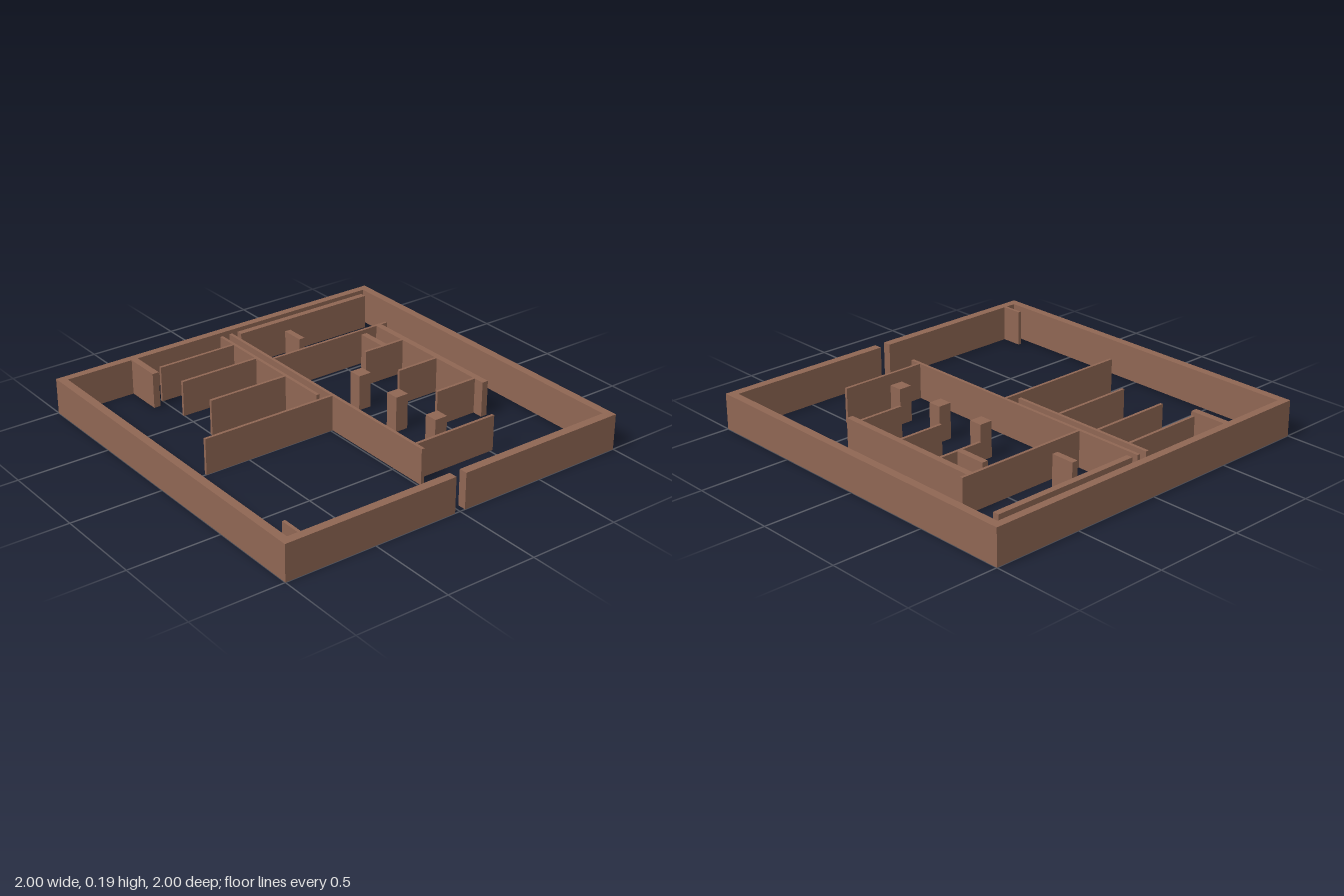
import * as THREE from 'three';

const H = 0.195; // common wall height

export function createModel() {
  const model = new THREE.Group();
  model.name = 'floorPlan';
  const brick = new THREE.MeshStandardMaterial({ color: 0x8f6653, side: THREE.DoubleSide });
  brick.name = 'brown wall';

  // Upright block from plan limits, hollow and open underneath
  function wall(name, x0, x1, z0, z1) {
    const g = new THREE.BoxGeometry(x1 - x0, H, z1 - z0);
    const idx = Array.from(g.index.array);
    idx.splice(18, 6); // drop the bottom face
    g.setIndex(idx);
    g.clearGroups();
    g.translate((x0 + x1) / 2, H / 2, (z0 + z1) / 2);
    const mesh = new THREE.Mesh(g, brick);
    mesh.name = name;
    model.add(mesh);
  }

  // Outer wall: one closed solid ring with an entrance gap at the front
  const outline = [
    [-0.03, 1], [-1, 1], [-1, -1], [1, -1], [1, 1], [0.03, 1],
    [0.03, 0.953], [0.955, 0.953], [0.955, -0.957], [-0.955, -0.957], [-0.955, 0.953], [-0.03, 0.953],
  ];
  const shape = new THREE.Shape(outline.map(([x, z]) => new THREE.Vector2(x, -z)));
  const ring = new THREE.ExtrudeGeometry(shape, { depth: H, bevelEnabled: false });
  ring.rotateX(-Math.PI / 2);
  const outer = new THREE.Mesh(ring, brick);
  outer.name = 'outerWall';
  model.add(outer);

  // Central corridor
  wall('corridorWallRight', -0.048, -0.03, -0.917, -0.053);
  wall('corridorWallLeft', 0.011, 0.029, -0.917, 0.702);
  wall('crossWall', -0.75, 0.011, -0.013, 0.003);

  // Partitions off the corridor
  for (const z of [-0.796, -0.588, -0.326]) wall('stallPartition', -0.503, -0.048, z - 0.008, z + 0.008);

  // Stubs against the outer wall
  wall('backStub', -0.577, -0.54, -0.957, -0.75);
  wall('frontStub', -0.898, -0.881, 0.837, 0.953);

  // Left-hand rooms
  wall('backCounter', 0.064, 0.912, -0.917, -0.882);
  wall('backBlock', 0.273, 0.307, -0.767, -0.636);
  wall('roomBackWall', 0.029, 0.783, -0.54, -0.524);
  wall('roomFrontWall', 0.029, 0.518, 0.631, 0.647);
  wall('roomSideWall', 0.709, 0.745, -0.524, 0.345);
  wall('sideBlock', 0.575, 0.61, -0.484, -0.313);
  for (const z of [-0.305, -0.024, 0.278]) wall('sidePartition', 0.46, 0.709, z - 0.008, z + 0.008);

  // Row of square pillars
  for (const z of [-0.126, 0.175, 0.477]) wall('pillar', 0.254, 0.328, z - 0.037, z + 0.037);

  return model;
}
